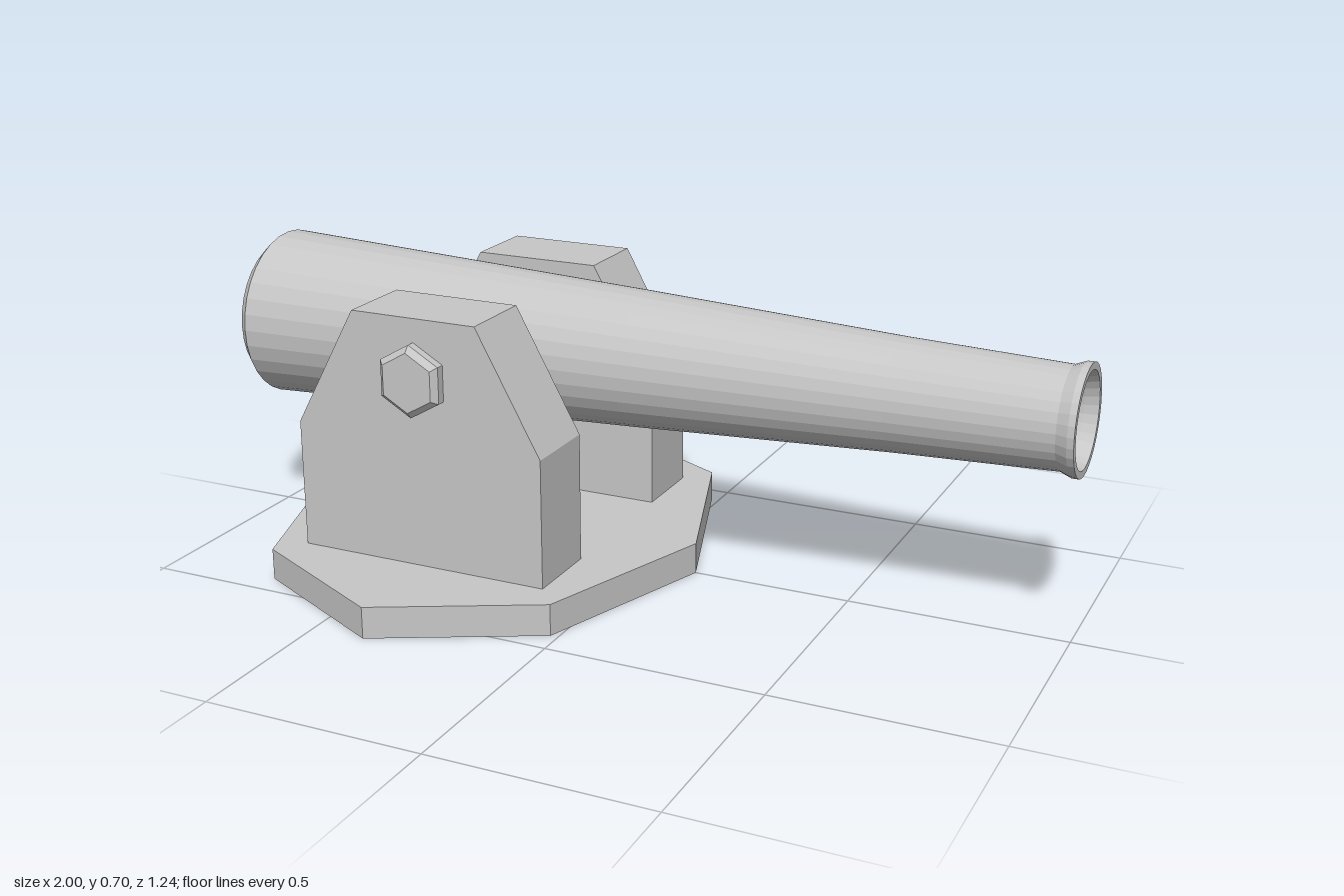
import * as THREE from 'three';

const metal = new THREE.MeshStandardMaterial({ color: 0xc6c6c6 });
metal.name = 'plain grey metal';

const pivotX = -0.375;
const axisY = 0.5;

// Faceted mesh: unshared corners give every face its own normal
function facetedMesh(name, geometry) {
  const flat = geometry.index ? geometry.toNonIndexed() : geometry;
  flat.computeVertexNormals();
  const mesh = new THREE.Mesh(flat, metal);
  mesh.name = name;
  return mesh;
}

function slab(points, depth) {
  const shape = new THREE.Shape(points.map(([x, y]) => new THREE.Vector2(x, y)));
  return new THREE.ExtrudeGeometry(shape, { depth, bevelEnabled: false });
}

function turned(points, segments) {
  return new THREE.LatheGeometry(points.map(([r, y]) => new THREE.Vector2(r, y)), segments);
}

export function createModel() {
  const model = new THREE.Group();
  model.name = 'cannon';

  // Eight-sided base plate
  const plate = [];
  for (let i = 0; i < 8; i++) {
    const a = (i * Math.PI) / 4;
    plate.push([pivotX + 0.505 * Math.cos(a), 0.622 * Math.sin(a)]);
  }
  model.add(facetedMesh('basePlate', slab(plate, 0.073).rotateX(-Math.PI / 2)));

  // Barrel profile: rounded breech, taper, flared muzzle, then the bore
  const profile = [
    [0, -1], [0.1, -1], [0.172, -0.977], [0.197, -0.95], [0.155, 0],
    [0.125, 0.6], [0.112, 0.96], [0.122, 0.985], [0.122, 1],
    [0.106, 1], [0.098, 0.97], [0.098, -0.6], [0, -0.6],
  ];
  const barrel = facetedMesh('barrel', turned(profile, 32).rotateZ(-Math.PI / 2));
  barrel.position.y = axisY;
  model.add(barrel);

  // Cheek supports and six-sided trunnions, one of each per side
  const cheek = [
    [-0.68, 0.073], [-0.07, 0.073], [-0.07, 0.37],
    [-0.222, 0.647], [-0.528, 0.647], [-0.68, 0.37],
  ];
  const trunnion = [[0.083, 0], [0.083, 0.295], [0.068, 0.308], [0, 0.308]];
  for (const side of [1, -1]) {
    const label = side > 0 ? 'front' : 'back';

    const support = facetedMesh(label + 'Cheek', slab(cheek, 0.185));
    support.position.z = side > 0 ? 0.19 : -0.375;
    model.add(support);

    const pin = facetedMesh(label + 'Trunnion', turned(trunnion, 6).rotateX((side * Math.PI) / 2));
    pin.position.set(pivotX, 0.51, side * 0.1);
    model.add(pin);
  }

  return model;
}
